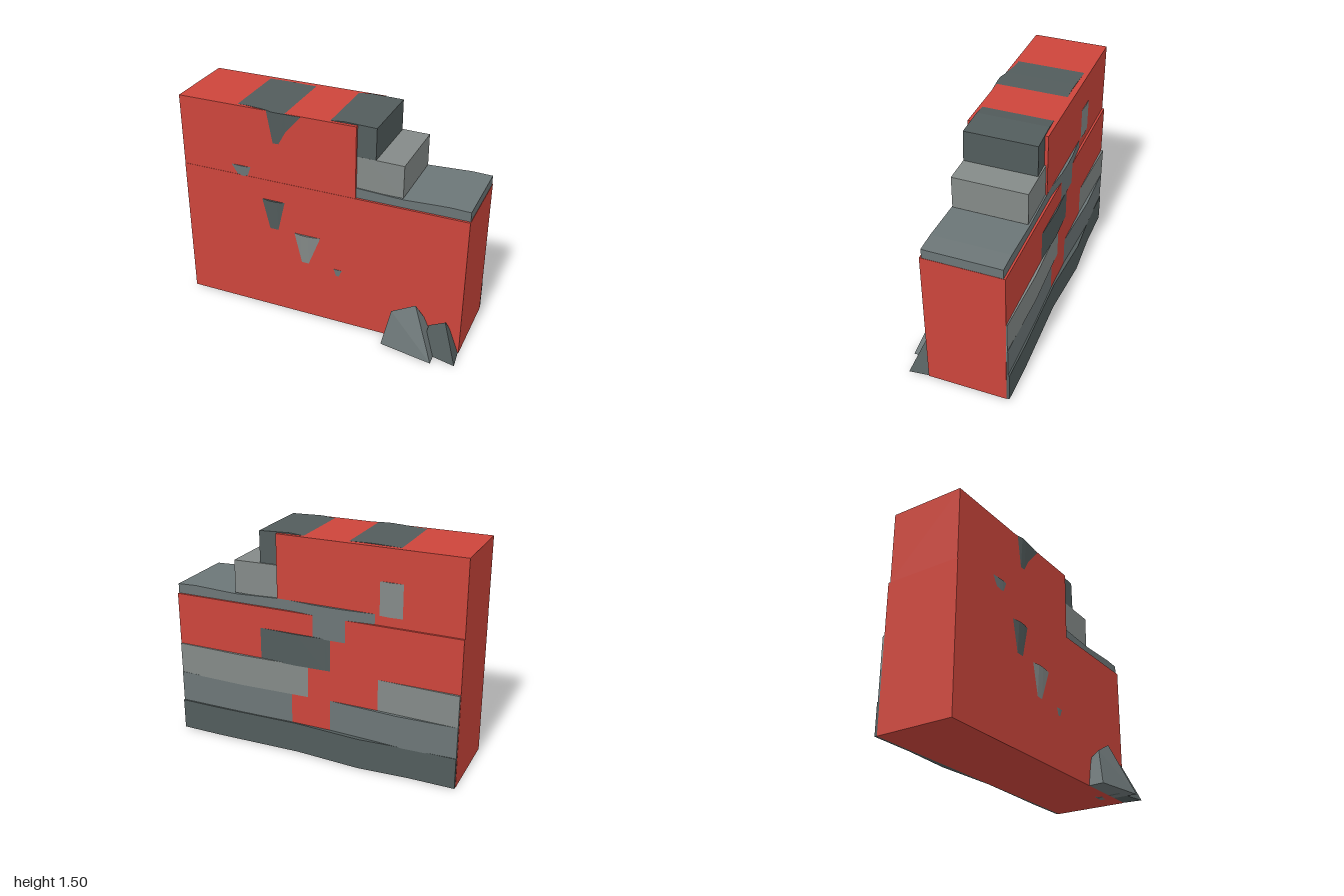
import * as THREE from 'three';
import { ConvexGeometry } from 'three/addons/geometries/ConvexGeometry.js';

const mat = (color) => new THREE.MeshStandardMaterial({ color, flatShading: true });
const RED = mat(0xcc453b), DARK = mat(0x525c5c), MID = mat(0x6c7677), LIGHT = mat(0x848a88);
const STEP = 0.2135;

// Linear interpolation through [x, value] knots
function sample(knots, x) {
  if (x <= knots[0][0]) return knots[0][1];
  for (let i = 1; i < knots.length; i++) {
    const [x0, v0] = knots[i - 1], [x1, v1] = knots[i];
    if (x <= x1) return v0 + (v1 - v0) * (x - x0) / (x1 - x0);
  }
  return knots[knots.length - 1][1];
}

// One uneven stone course: rectangular cross-sections strung along x
function courseGeometry({ y0, x0, x1, back, top, frontTop, frontBottom }) {
  const xs = [x0, x1];
  for (const list of [back, top, frontTop, frontBottom]) {
    for (const [x] of list) if (x > x0 && x < x1) xs.push(x);
  }
  const stations = [...new Set(xs)].sort((a, b) => a - b);
  const sections = stations.map((x) => {
    const b = sample(back, x), t = sample(top, x);
    return [[x, y0, b], [x, t, b], [x, t, sample(frontTop, x)], [x, y0, sample(frontBottom, x)]];
  });
  const pos = [];
  const tri = (...points) => points.forEach((p) => pos.push(...p));
  for (let i = 0; i + 1 < sections.length; i++) {
    const s = sections[i], n = sections[i + 1];
    for (let k = 0; k < 4; k++) {
      const a = s[k], b = s[(k + 1) % 4], c = n[(k + 1) % 4], d = n[k];
      if (k === 2 && d[2] < a[2]) { tri(a, b, d); tri(b, c, d); }
      else { tri(a, b, c); tri(a, c, d); }
    }
  }
  const s = sections[0], e = sections[sections.length - 1];
  tri(s[0], s[3], s[2]); tri(s[0], s[2], s[1]);
  tri(e[0], e[1], e[2]); tri(e[0], e[2], e[3]);
  const g = new THREE.BufferGeometry();
  g.setAttribute('position', new THREE.Float32BufferAttribute(pos, 3));
  g.computeVertexNormals();
  return g;
}

// Courses from the ground up; bulge = [topLeft, bottomLeft, bottomRight, topRight, zTop, zBottom]
const L = -0.998, R = 0.983;
const courses = [
  { mat: DARK, back: [[-1, -0.355], [-0.7, -0.355], [-0.35, -0.375], [0.1, -0.345], [0.7, -0.358], [0.985, -0.355]] },
  { mat: MID, bulge: [0.08, 0.11, 0.13, 0.17, 0.203, 0.19],
    back: [[-1, -0.35], [-0.6, -0.36], [-0.136, -0.335], [0, -0.325], [0.14, -0.335], [0.5, -0.345], [0.985, -0.345]] },
  { mat: LIGHT, bulge: [-0.2, -0.14, -0.09, 0.01, 0.212, 0.2],
    back: [[-1, -0.35], [-0.465, -0.335], [-0.2, -0.32], [0.02, -0.335], [0.5, -0.352], [0.985, -0.342]] },
  { mat: DARK, bulge: [-0.43, -0.37, -0.31, -0.25, 0.213, 0.2],
    back: [[-1, -0.32], [-0.136, -0.335], [0.1, -0.345], [0.36, -0.335], [0.985, -0.325]] },
  { mat: MID, front: 0.187, bulge: [-0.64, -0.57, -0.54, -0.5, 0.204, 0.192],
    top: [[-1, 1.067], [0.24, 1.07], [0.55, 1.057], [0.85, 1.07], [0.985, 1.065]],
    back: [[-1, -0.31], [-0.43, -0.32], [-0.24, -0.335], [-0.13, -0.338], [-0.015, -0.335], [0.14, -0.32], [0.985, -0.322]] },
  { mat: LIGHT, x1: 0.55, top: [[-1, 1.281], [0.3, 1.287], [0.55, 1.283]],
    back: [[-1, -0.312], [-0.61, -0.32], [-0.53, -0.326], [-0.46, -0.32], [0, -0.31], [0.55, -0.31]] },
  { mat: DARK, x1: 0.365, front: 0.175, bulge: [-0.37, -0.33, -0.29, -0.13, 0.21, 0.198],
    top: [[-1, 1.488], [-0.58, 1.495], [-0.4, 1.499], [-0.24, 1.495], [-0.1, 1.49], [0.06, 1.495], [0.15, 1.504], [0.365, 1.497]],
    back: [[-1, -0.3], [-0.33, -0.28], [0.365, -0.302]] },
];

export function createModel() {
  const model = new THREE.Group();
  const add = (name, geometry, material, parent = model) => {
    const mesh = new THREE.Mesh(geometry, material);
    mesh.name = name;
    parent.add(mesh);
    return mesh;
  };
  const block = (name, x0, x1, y0, y1, z0, z1) => {
    add(name, new THREE.BoxGeometry(x1 - x0, y1 - y0, z1 - z0), RED)
      .position.set((x0 + x1) / 2, (y0 + y1) / 2, (z0 + z1) / 2);
  };

  // Red wall body, stepped down on the left
  block('lowerWall', -1, 0.985, 0, 1, -0.335, 0.2);
  block('upperWall', -1, 0.24, 1, 1.495, -0.32, 0.198);

  // Stone courses breaking through the wall
  const stones = new THREE.Group();
  stones.name = 'stoneCourses';
  model.add(stones);
  courses.forEach((c, i) => {
    const front = c.front ?? 0.18;
    let frontTop = [[-1, front]], frontBottom = [[-1, front]];
    if (c.bulge) {
      const [a, b, d, e, zt, zb] = c.bulge, edge = 0.198;
      frontTop = [[-1, front], [a - 0.15, front], [a, edge], [b, zt], [d, zt], [e, edge], [e + 0.15, front]];
      frontBottom = [[a, 0.18], [b, zb], [d, zb], [e, 0.18]];
    }
    add('stoneCourse' + (i + 1), courseGeometry({
      y0: i ? STEP * i - 0.005 : 0.002, x0: L, x1: c.x1 ?? R, back: c.back,
      top: c.top ?? [[-1, STEP * (i + 1)]], frontTop, frontBottom,
    }), c.mat, stones);
  });

  // Faceted rocks leaning on the front
  const rock = (name, points, material) =>
    add(name, new ConvexGeometry(points.map((p) => new THREE.Vector3(...p))), material);
  rock('largeRock', [[0.48, 0, 0.31], [0.845, 0, 0.372], [0.53, 0.25, 0.26], [0.69, 0.335, 0.25],
    [0.5, 0, 0.1], [0.83, 0, 0.1], [0.54, 0.18, 0.15], [0.7, 0.2, 0.15]], MID);
  rock('smallRock', [[0.75, 0, 0.28], [0.995, 0, 0.335], [0.78, 0.19, 0.23], [0.89, 0.25, 0.237],
    [0.76, 0, 0.1], [0.97, 0, 0.1], [0.88, 0.17, 0.13]], DARK);

  return model;
}
